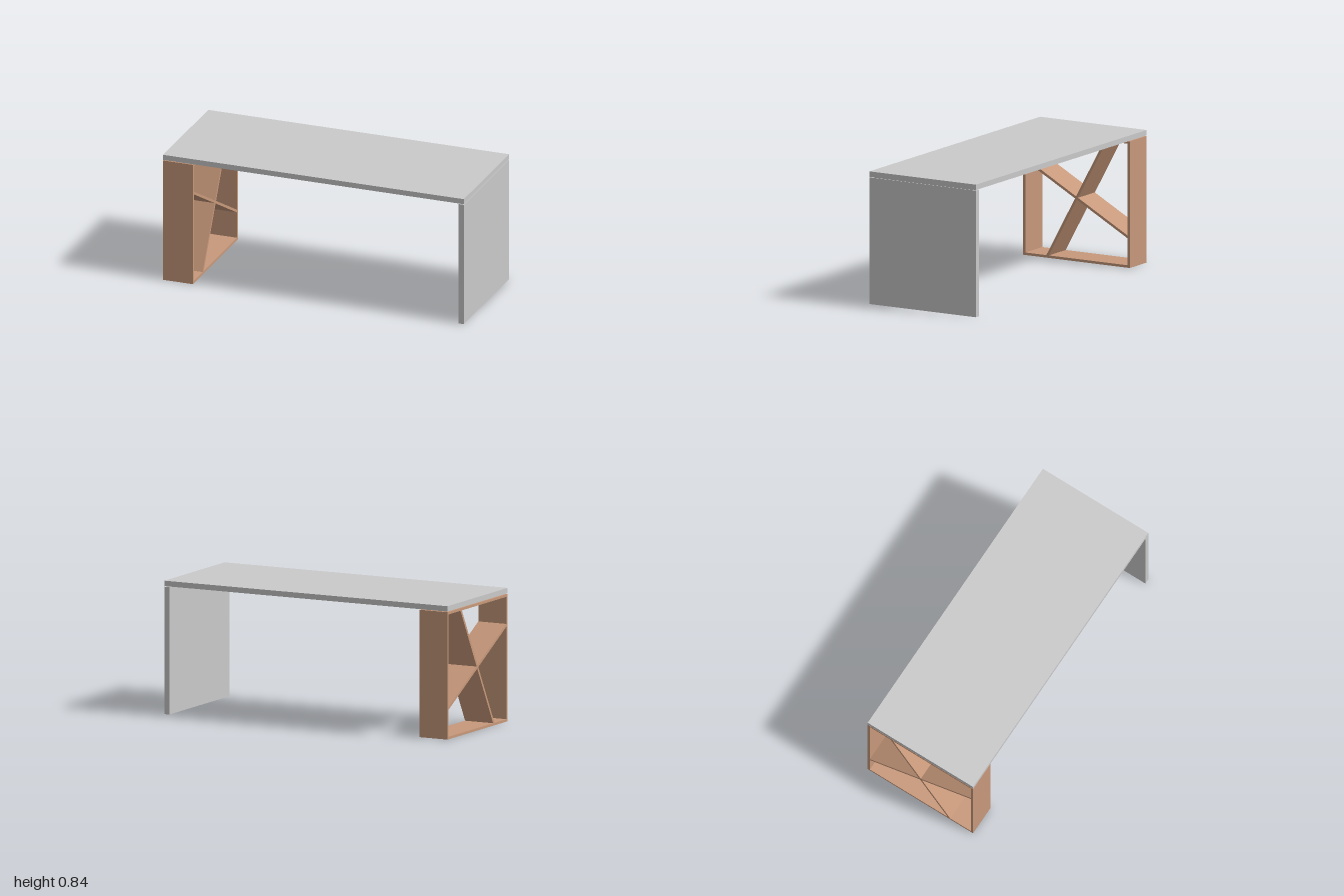
import * as THREE from 'three';

export function createModel() {
  const grey = new THREE.MeshStandardMaterial({ color: 0xcacaca });
  grey.name = 'grey panel';
  const wood = new THREE.MeshStandardMaterial({ color: 0xc8997b });
  wood.name = 'light brown wood';

  const desk = new THREE.Group();
  desk.name = 'desk';
  const D = 0.39;          // half depth
  const H = 0.802;         // support height
  const TOP = 0.806;       // underside of the top
  const T = 0.016;         // shelf board thickness

  // Box given by its minimum and maximum corners
  function box(name, material, min, max, parent) {
    const size = max.map((v, i) => v - min[i]);
    const mesh = new THREE.Mesh(new THREE.BoxGeometry(...size), material);
    mesh.position.set(...max.map((v, i) => (v + min[i]) / 2));
    mesh.name = name;
    parent.add(mesh);
  }

  // Top, panel leg and the thin inset spacers that leave a shadow gap
  box('tableTop', grey, [-1, TOP, -D], [1, 0.84, D], desk);
  box('panelLeg', grey, [0.966, 0, -D], [1, H, D], desk);
  box('legSpacer', grey, [0.972, H, -0.365], [0.994, TOP, 0.365], desk);
  box('shelfSpacer', wood, [-0.98, H, -0.365], [-0.82, TOP, 0.365], desk);

  // Open shelf frame that carries the other end
  const shelf = new THREE.Group();
  shelf.name = 'shelfLeg';
  desk.add(shelf);
  const x0 = -1, x1 = -0.802, inner = D - T;
  box('frontBoard', wood, [x0, 0, inner], [x1, H, D], shelf);
  box('backBoard', wood, [x0, 0, -D], [x1, H, -inner], shelf);
  box('bottomBoard', wood, [x0, 0, -inner], [x1, T, inner], shelf);
  box('topBoard', wood, [x0, H - T, -inner], [x1, H, inner], shelf);

  // Crossed boards: (z, y) outlines trimmed to the frame, extruded across x
  function slantedBoard(name, points) {
    const shape = new THREE.Shape(points.map(([z, y]) => new THREE.Vector2(z, y + H / 2)));
    const geometry = new THREE.ExtrudeGeometry(shape, { depth: x1 - x0, bevelEnabled: false });
    geometry.rotateY(-Math.PI / 2);
    const mesh = new THREE.Mesh(geometry, wood);
    mesh.position.x = x1;
    mesh.name = name;
    shelf.add(mesh);
  }
  const slope = 0.55;
  const rise = inner * slope;             // shallow board, higher at the front
  const halfHeight = H / 2 - T;
  const run = halfHeight * slope;         // steep board, square to the shallow one
  const h = (T / 2) * Math.hypot(1, slope);
  slantedBoard('shallowBoard', [[-inner, -rise - h], [inner, rise - h], [inner, rise + h], [-inner, -rise + h]]);
  slantedBoard('steepBoard', [[run - h, -halfHeight], [run + h, -halfHeight], [-run + h, halfHeight], [-run - h, halfHeight]]);

  return desk;
}
